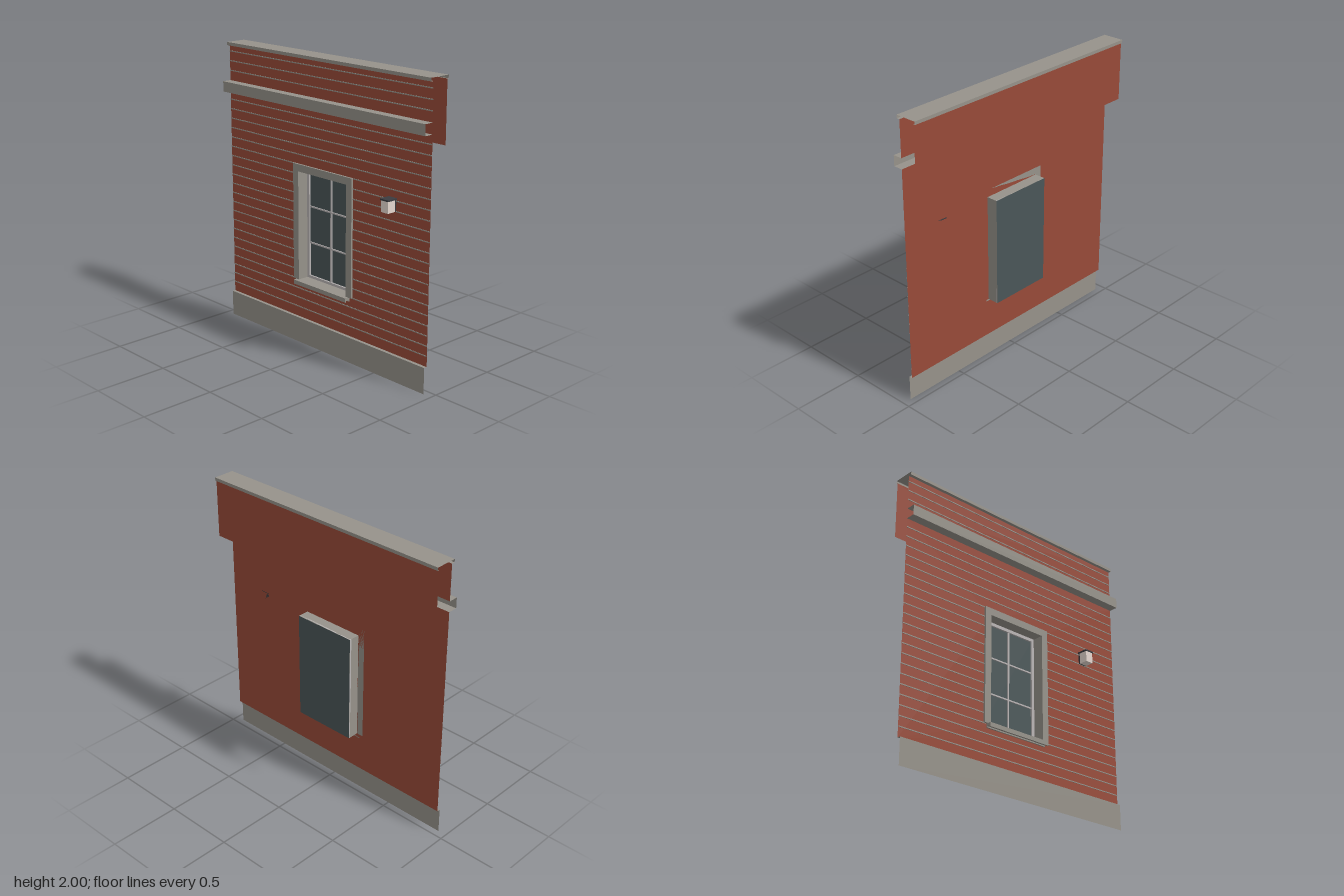
import * as THREE from 'three';

const mat = (color) => new THREE.MeshStandardMaterial({ color, side: THREE.DoubleSide, flatShading: true });

export function createModel() {
  const root = new THREE.Group();
  const brick = mat(0x984a38), stone = mat(0x96928a), glass = mat(0x4a5658);
  const paint = mat(0xb9b4b4), shade = mat(0xe6d8d0), metal = mat(0x3c3c40);
  const W = 0.94, WALL_Z = 0.025, BACK_Z = -0.093;

  const add = (name, geometry, material, parent = root) => {
    const m = new THREE.Mesh(geometry, material);
    m.name = name;
    parent.add(m);
    return m;
  };
  // box given by its limits
  const box = (name, material, x0, x1, y0, y1, z0, z1, parent = root) => {
    const m = add(name, new THREE.BoxGeometry(x1 - x0, y1 - y0, z1 - z0), material, parent);
    m.position.set((x0 + x1) / 2, (y0 + y1) / 2, (z0 + z1) / 2);
    return m;
  };
  // open sheet: a [z, y] profile, listed from bottom to top, swept along x
  const sheet = (name, material, profile, x0 = -W, x1 = W, parent = root) => {
    const pos = [];
    for (let i = 0; i < profile.length - 1; i++) {
      const [za, ya] = profile[i], [zb, yb] = profile[i + 1];
      pos.push(x0, ya, za, x1, ya, za, x1, yb, zb, x0, ya, za, x1, yb, zb, x0, yb, zb);
    }
    const g = new THREE.BufferGeometry();
    g.setAttribute('position', new THREE.Float32BufferAttribute(pos, 3));
    g.computeVertexNormals();
    return add(name, g, material, parent);
  };
  const rect = (C, x0, x1, y0, y1) => {
    const s = new C();
    s.moveTo(x0, y0).lineTo(x1, y0).lineTo(x1, y1).lineTo(x0, y1).closePath();
    return s;
  };

  // Window opening limits
  const ox = 0.228, oy0 = 0.452, oy1 = 1.215, glassZ = -0.055;

  // Wall sheets
  const lower = rect(THREE.Shape, -W, W, 0.178, 1.66);
  lower.holes.push(rect(THREE.Path, -ox, ox, oy0, oy1));
  add('lowerWall', new THREE.ShapeGeometry(lower), brick).position.z = WALL_Z;
  sheet('upperWall', brick, [[WALL_Z, 1.732], [WALL_Z, 1.978]]);
  sheet('parapetBack', brick, [[BACK_Z, 1.978], [BACK_Z, 1.575]]);

  // Stone courses
  sheet('plinth', stone, [[0.048, 0], [0.048, 0.178], [WALL_Z, 0.178]]);
  sheet('beltCourse', stone, [[WALL_Z, 1.66], [0.09, 1.66], [0.09, 1.732], [WALL_Z, 1.732]]);
  sheet('coping', stone, [[WALL_Z, 1.978], [0.048, 1.978], [0.048, 2],
    [-0.103, 2], [-0.103, 1.978], [BACK_Z, 1.978]]);

  // Horizontal joint lines, interrupted at the window
  const joints = new THREE.Group();
  joints.name = 'jointLines';
  root.add(joints);
  for (let i = 0; i < 26; i++) {
    const y = 0.249 + i * 0.0675, h = 0.0035, z = WALL_Z + 0.003;
    if (y > 1.64 && y < 1.75) continue;
    const line = [[WALL_Z, y - h], [z, y - h], [z, y + h], [WALL_Z, y + h]];
    if (y > 0.43 && y < 1.23) {
      sheet('joint', stone, line, -W, -0.26, joints);
      sheet('joint', stone, line, 0.26, W, joints);
    } else sheet('joint', stone, line, -W, W, joints);
  }

  // Window: surround, reveal, sill, sash and glass
  const win = new THREE.Group();
  win.name = 'window';
  root.add(win);
  const surround = rect(THREE.Shape, -0.278, 0.278, oy0, 1.265);
  surround.holes.push(rect(THREE.Path, -ox, ox, oy0, oy1));
  add('surround', new THREE.ExtrudeGeometry(surround, { depth: 0.014, bevelEnabled: false }), stone, win)
    .position.z = WALL_Z;
  for (const s of [-1, 1]) {
    const side = add('revealSide', new THREE.PlaneGeometry(WALL_Z - glassZ, oy1 - oy0), stone, win);
    side.rotation.y = -s * Math.PI / 2;
    side.position.set(s * ox, (oy0 + oy1) / 2, (WALL_Z + glassZ) / 2);
  }
  sheet('revealTop', stone, [[glassZ, oy1], [WALL_Z, oy1]], -ox, ox, win);
  sheet('revealBottom', stone, [[WALL_Z, oy0], [glassZ, oy0]], -ox, ox, win);
  box('sill', stone, -0.252, 0.252, 0.432, 0.452, WALL_Z, 0.064, win);
  box('sillDrip', stone, -0.252, 0.252, 0.423, 0.432, 0.056, 0.064, win);
  box('sillBack', stone, -0.252, 0.252, 0.423, 0.432, WALL_Z, 0.034, win);

  add('glass', new THREE.PlaneGeometry(2 * ox, oy1 - oy0), glass, win)
    .position.set(0, (oy0 + oy1) / 2, glassZ);
  const sash = rect(THREE.Shape, -ox, ox, oy0, oy1);
  sash.holes.push(rect(THREE.Path, -0.207, 0.207, 0.47, 1.193));
  add('sashFrame', new THREE.ExtrudeGeometry(sash, { depth: 0.012, bevelEnabled: false }), paint, win)
    .position.z = glassZ + 0.002;
  box('mullion', paint, -0.006, 0.006, 0.47, 1.193, glassZ + 0.002, glassZ + 0.01, win);
  for (const y of [0.705, 0.96])
    box('glazingBar', paint, -0.207, 0.207, y - 0.005, y + 0.005, glassZ + 0.002, glassZ + 0.0095, win);

  // Wall lamp
  const lamp = new THREE.Group();
  lamp.name = 'wallLamp';
  root.add(lamp);
  box('lampPlate', metal, 0.597, 0.657, 1.126, 1.203, WALL_Z, 0.036, lamp);
  box('lampShade', shade, 0.597, 0.657, 1.126, 1.203, 0.036, 0.098, lamp);
  box('lampCap', metal, 0.592, 0.662, 1.203, 1.213, WALL_Z, 0.103, lamp);

  return root;
}
